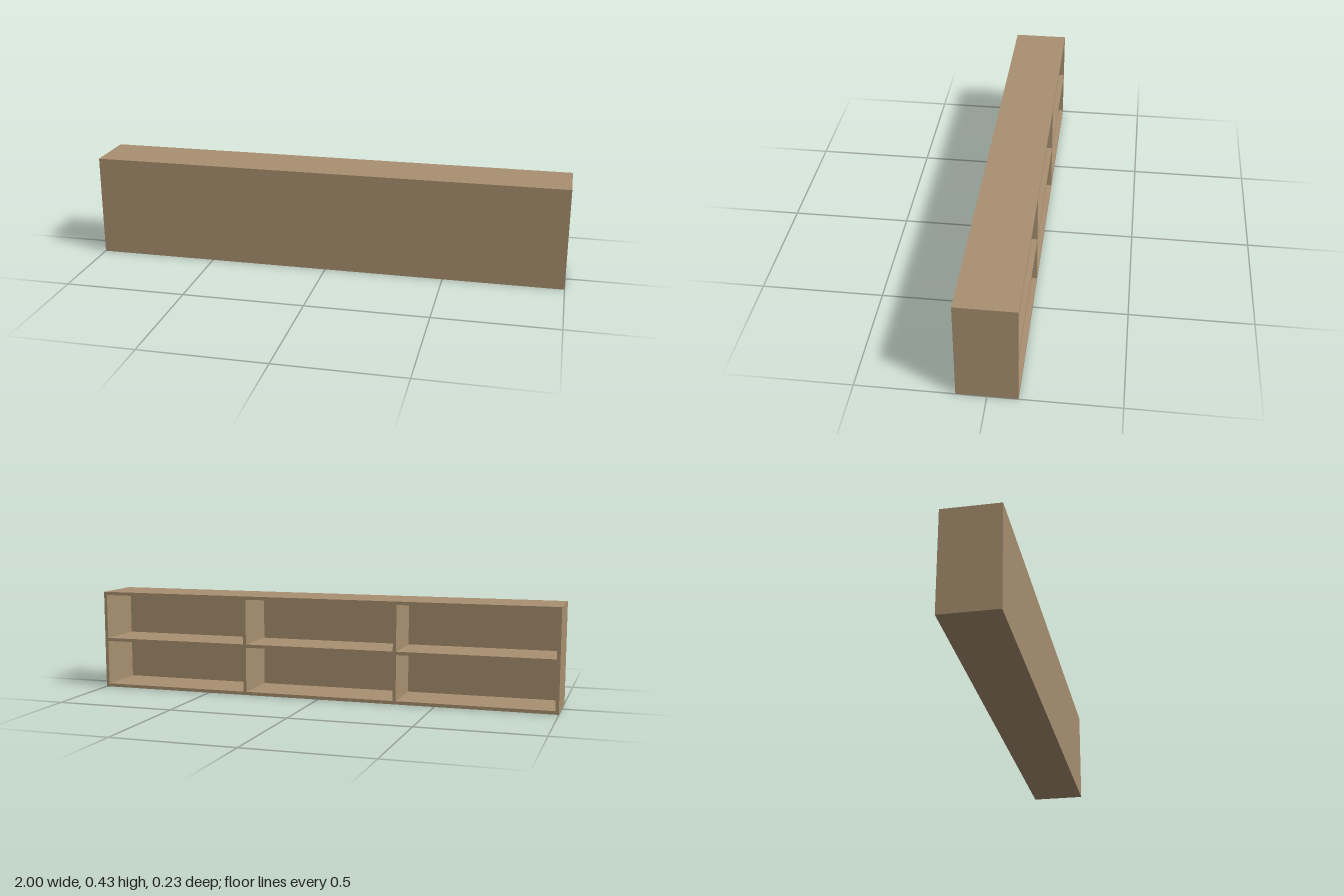
import * as THREE from 'three';

const W = 2, H = 0.427, D = 0.234; // outer size
const T = 0.014;                   // board thickness

export function createModel() {
  const group = new THREE.Group();
  group.name = 'shelfUnit';
  const wood = new THREE.MeshStandardMaterial({ color: 0xa89070 });

  function board(name, w, h, d, x, y, z) {
    const mesh = new THREE.Mesh(new THREE.BoxGeometry(w, h, d), wood);
    mesh.name = name;
    mesh.position.set(x, y, z);
    group.add(mesh);
  }

  const innerH = H - 2 * T;
  const innerD = D - T;
  const innerZ = -T / 2;
  const bayW = (W - 4 * T) / 3;

  // Closed front panel; the compartments open to the back
  board('frontPanel', W - 2 * T, innerH, T, 0, H / 2, D / 2 - T / 2);

  // Outer case
  board('topBoard', W, T, D, 0, H - T / 2, 0);
  board('bottomBoard', W, T, D, 0, T / 2, 0);
  for (const [side, s] of [['left', 1], ['right', -1]]) {
    board(side + 'Side', T, innerH, D, s * (W - T) / 2, H / 2, 0);
    board(side + 'Divider', T, innerH, innerD, s * (bayW + T) / 2, H / 2, innerZ);
  }

  // One middle shelf in each of the three bays
  for (let i = -1; i <= 1; i++) {
    board('shelf', bayW, T, innerD, i * (bayW + T), H / 2, innerZ);
  }
  return group;
}
